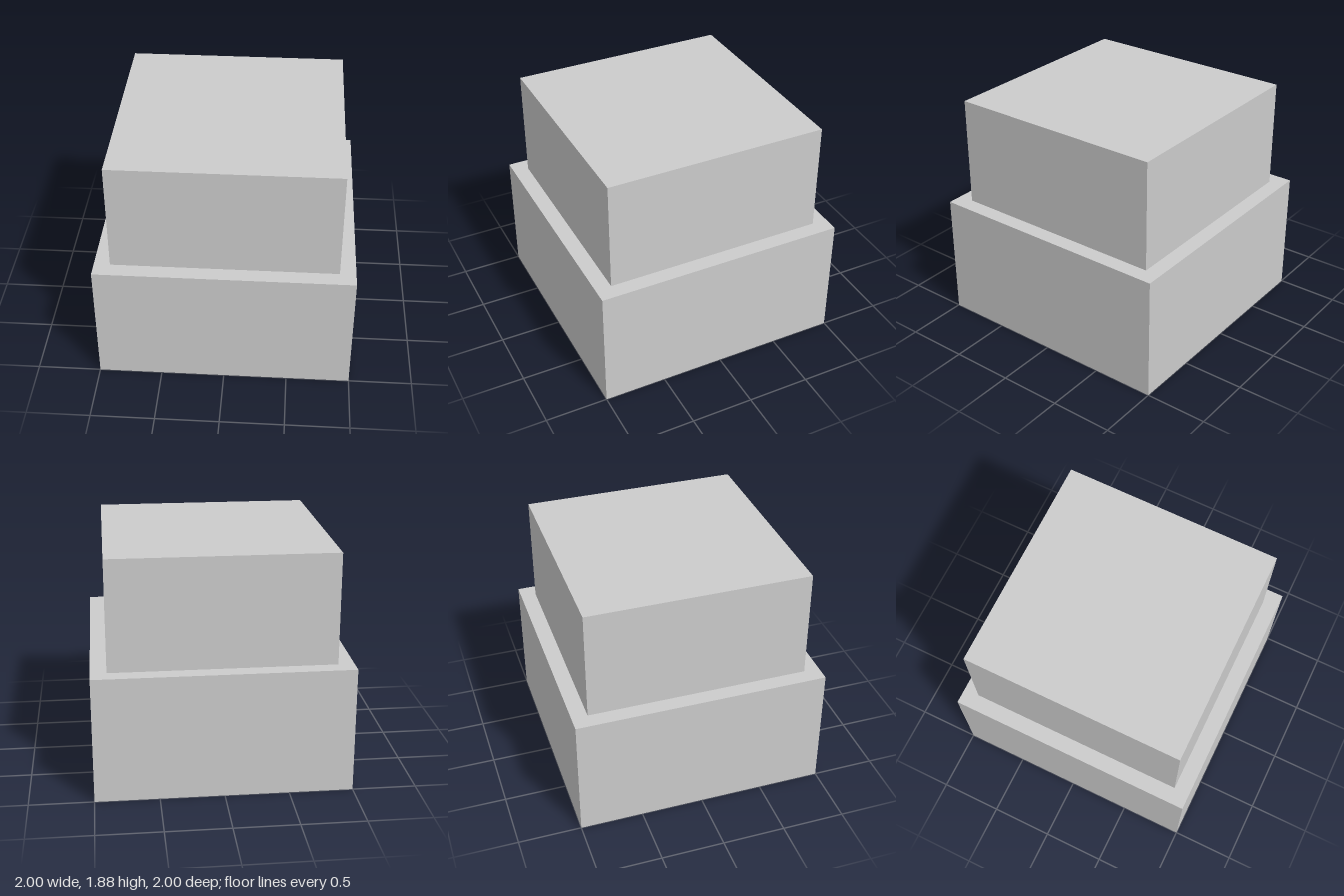
import * as THREE from 'three';

export function createModel() {
  const group = new THREE.Group();
  const material = new THREE.MeshStandardMaterial({ color: 0xcccccc, flatShading: true });

  // Square block of a given width and height, standing on y
  function addBlock(name, width, height, y) {
    const block = new THREE.Mesh(new THREE.BoxGeometry(width, height, width), material);
    block.name = name;
    block.position.y = y + height / 2;
    group.add(block);
  }

  // Wide lower block with a narrower one centred on top
  addBlock('lowerBlock', 2, 1, 0);
  addBlock('upperBlock', 1.75, 0.875, 1);

  return group;
}
